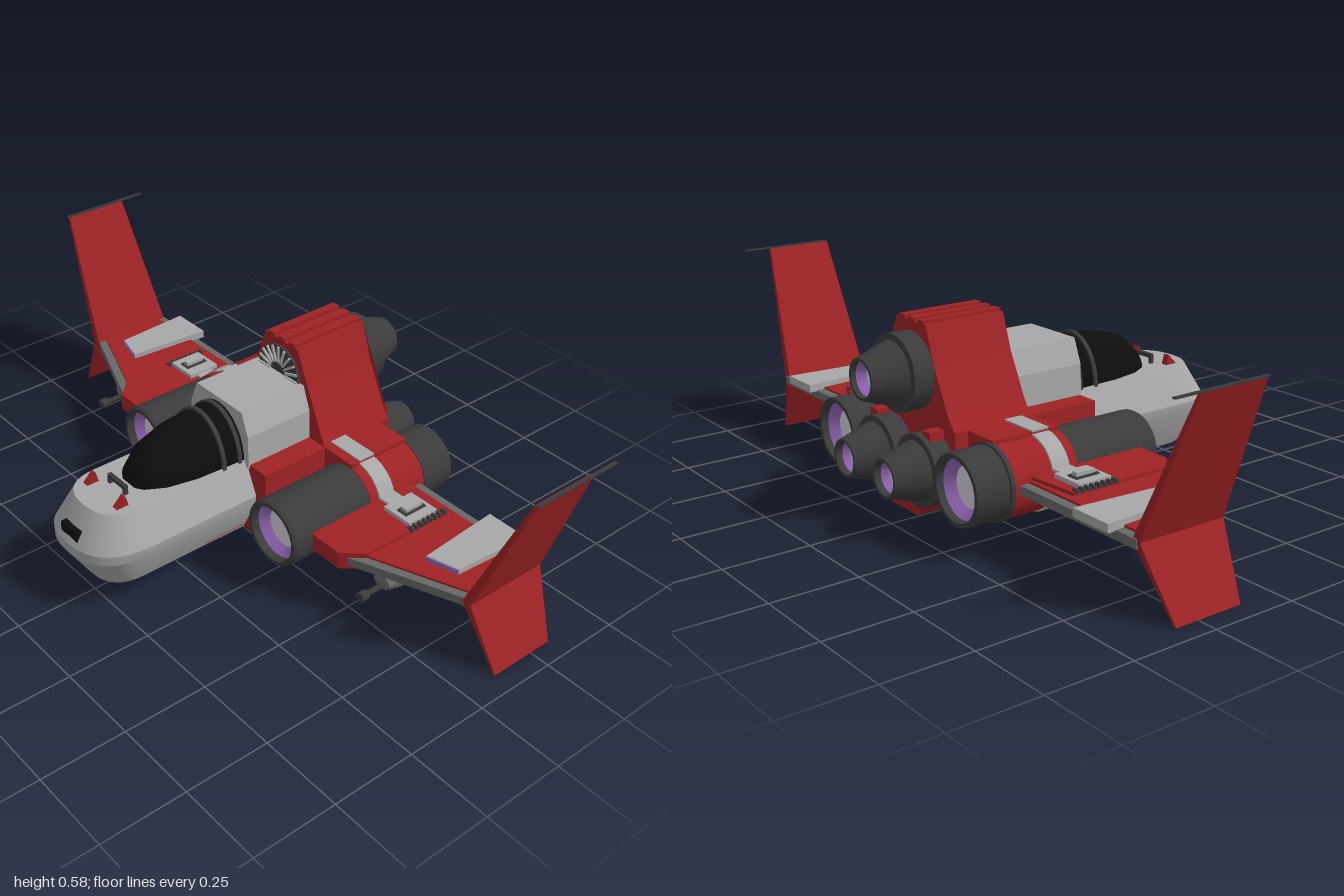
import * as THREE from 'three';
import { toCreasedNormals } from 'three/addons/utils/BufferGeometryUtils.js';

const mat = (name, color) => Object.assign(new THREE.MeshStandardMaterial({ color }), { name });
const red = mat('hull red', 0x9e2224);
const light = mat('light grey', 0xa8a8a8);
const mid = mat('mid grey', 0x666866);
const dark = mat('dark grey', 0x3b3b3b);
const black = mat('canopy black', 0x0d0d0d);
const purple = mat('glow purple', 0x9468b8);
const pale = mat('glow core', 0xd6cfda);

// Skin between convex rings of [x,y,z] points, capped at both ends
function loft(rings, crease = 0.5) {
  const out = [], n = rings[0].length;
  const tri = (a, b, c) => out.push(a, b, c);
  for (let r = 0; r < rings.length - 1; r++) {
    for (let i = 0; i < n; i++) {
      const j = (i + 1) % n, A = rings[r], B = rings[r + 1];
      tri(A[i], A[j], B[j]);
      tri(A[i], B[j], B[i]);
    }
  }
  const first = rings[0], last = rings[rings.length - 1];
  for (let i = 1; i < n - 1; i++) {
    tri(first[0], first[i + 1], first[i]);
    tri(last[0], last[i], last[i + 1]);
  }
  // Turn the faces outward if the enclosed volume is negative
  const v = out.map(p => new THREE.Vector3(...p));
  let volume = 0;
  for (let i = 0; i < v.length; i += 3) volume += v[i].dot(v[i + 1].clone().cross(v[i + 2]));
  if (volume < 0) for (let i = 0; i < v.length; i += 3) [v[i + 1], v[i + 2]] = [v[i + 2], v[i + 1]];
  return toCreasedNormals(new THREE.BufferGeometry().setFromPoints(v), crease);
}

// Section in XY drawn along z
const prism = (pts, z0, z1) => loft([z0, z1].map(z => pts.map(([x, y]) => [x, y, z])), 0.1);
// Plan in XZ raised from y0 to y1
const slab = (pts, y0, y1, s = 1) => loft([y0, y1].map(y => pts.map(([x, z]) => [x * s, y, z])), 0.1);
// Right half of a section, mirrored to a full one
const both = half => [...half, ...half.map(([x, y]) => [-x, y]).reverse()];
// Profile of [radius, z], spun about the z axis
function turned(profile, x, y, sides = 28) {
  const g = new THREE.LatheGeometry(profile.map(p => new THREE.Vector2(...p)), sides);
  g.rotateX(Math.PI / 2);
  g.translate(x, y, 0);
  return toCreasedNormals(g, 0.45);
}

export function createModel() {
  const model = new THREE.Group();
  model.name = 'starfighter';
  const add = (name, geometry, material, parent = model) => {
    const m = new THREE.Mesh(geometry, material);
    m.name = name;
    parent.add(m);
    return m;
  };
  const box = (name, material, x, y, z, w, h, d, parent = model) => {
    const m = add(name, new THREE.BoxGeometry(w, h, d), material, parent);
    m.position.set(x, y, z);
    return m;
  };

  // Nose hull: D-shaped plan, widest at mid height
  const hullRing = (y, w, front) => {
    const ring = [[-w, y, 0.03], [w, y, 0.03]];
    for (let i = 0; i <= 16; i++) {
      const a = Math.PI * i / 16, c = Math.cos(a), q = Math.sin(a);
      ring.push([w * Math.sign(c) * Math.abs(c) ** 0.8, y, 0.4 + (front - 0.4) * q ** 0.8]);
    }
    return ring;
  };
  add('noseHull', loft([hullRing(0.07, 0.105, 0.51), hullRing(0.18, 0.157, 0.58),
    hullRing(0.21, 0.16, 0.58), hullRing(0.31, 0.113, 0.52)], 0.4), light);
  box('noseSensor', black, 0, 0.24, 0.557, 0.075, 0.03, 0.025);
  box('noseGrip', dark, 0, 0.333, 0.405, 0.08, 0.012, 0.012);
  for (const s of [-1, 1]) {
    box('noseGripPost', dark, s * 0.035, 0.32, 0.405, 0.01, 0.03, 0.012);
    add('noseFinlet', loft([-0.01, 0.01].map(dx => [[s * 0.07 + dx, 0.305, 0.47],
      [s * 0.07 + dx, 0.34, 0.435], [s * 0.07 + dx, 0.305, 0.425]]), 0.1), red);
  }

  // Canopy with two frame hoops
  const arch = (z, w, h) => Array.from({ length: 17 }, (_, i) => {
    const a = Math.PI * i / 16;
    return [w * Math.cos(a), 0.305 + h * Math.sin(a), z];
  });
  add('canopy', loft([arch(0.37, 0.03, 0.01), arch(0.355, 0.052, 0.055), arch(0.3, 0.083, 0.105),
    arch(0.21, 0.103, 0.13), arch(0.04, 0.113, 0.142)], 0.6), black);
  for (const z of [0.125, 0.07]) add('canopyFrame', loft([arch(z - 0.006, 0.115, 0.144), arch(z + 0.006, 0.115, 0.144)]), dark);
  add('cockpitBack', prism(both([[0.132, 0.29], [0.128, 0.39], [0.1, 0.46]]), -0.19, 0.055), light);

  // Central body, tower and keel
  add('body', prism(both([[0.16, 0.075], [0.2, 0.11], [0.2, 0.3]]), -0.42, 0.05), red);
  add('tower', prism(both([[0.2, 0.29], [0.165, 0.34], [0.105, 0.46], [0.07, 0.562]]), -0.42, -0.17), red);
  for (const x of [-0.045, 0, 0.045]) box('towerRidge', red, x, 0.564, -0.295, 0.026, 0.014, 0.25);
  add('keel', loft([[0.04, 0.065, 0.165], [0.085, 0.115, 0.195]].map(([y, w, f]) =>
    [[-w, y, -0.457], [w, y, -0.457], [w, y, f], [-w, y, f]]), 0.1), red);

  // Half-round vent with radial vanes on the tower front
  const vent = add('ventDisc', new THREE.CylinderGeometry(0.085, 0.085, 0.012, 24).rotateX(Math.PI / 2), dark);
  vent.position.set(0, 0.46, -0.168);
  for (let i = 0; i <= 10; i++) {
    const a = Math.PI * i / 10;
    const vane = box('ventVane', light, 0.058 * Math.cos(a), 0.46 + 0.058 * Math.sin(a), -0.161, 0.05, 0.007, 0.01);
    vane.rotation.z = a;
  }

  // Glowing inside of an engine mouth; dir is the way it opens
  function glow(x, y, z, r, dir, parent) {
    const cone = [[r * 0.56, z - dir * 0.04], [r * 0.84, z - dir * 0.012]];
    const disc = [[0, z - dir * 0.036], [r * 0.58, z - dir * 0.036]];
    if (dir > 0) { cone.reverse(); disc.reverse(); }
    add('glowRing', turned(cone, x, y), purple, parent);
    add('glowCore', turned(disc, x, y), pale, parent);
  }

  // Rear thrusters: one high, two low
  for (const [x, y] of [[0, 0.427], [-0.1, 0.182], [0.1, 0.182]]) {
    add('thruster', turned([[0.045, -0.54], [0.05, -0.58], [0.058, -0.58], [0.09, -0.482],
      [0.108, -0.48], [0.108, -0.38], [0, -0.38]].map(([r, z]) => [y > 0.3 ? r : r * 0.93, z]), x, y), dark);
    glow(x, y, -0.578, 0.056, -1, model);
  }

  for (const s of [-1, 1]) {
    const side = new THREE.Group();
    side.name = s > 0 ? 'leftSide' : 'rightSide';
    model.add(side);
    const put = (name, g, m) => add(name, g, m, side);
    const block = (name, m, x, ...rest) => box(name, m, s * x, ...rest, side);

    // Nacelle: intake, red middle, exhaust
    const nx = s * 0.297, ny = 0.187;
    put('intake', turned([[0, -0.18], [0.1, -0.18], [0.1, 0.1], [0.095, 0.11], [0.084, 0.11],
      [0.08, 0.06], [0.05, 0.055]], nx, ny), dark);
    glow(nx, ny, 0.1, 0.1, 1, side);
    put('nacelleMiddle', turned([[0, -0.385], [0.103, -0.385], [0.103, -0.17], [0, -0.17]], nx, ny), red);
    put('nacelleBand', turned([[0.1, -0.255], [0.108, -0.255], [0.108, -0.2], [0.1, -0.2]], nx, ny), light);
    put('exhaust', turned([[0.05, -0.43], [0.08, -0.44], [0.086, -0.49], [0.098, -0.49],
      [0.1, -0.48], [0.1, -0.39], [0.106, -0.388], [0.106, -0.375], [0, -0.375]], nx, ny), dark);
    glow(nx, ny, -0.482, 0.1, -1, side);
    block('nacelleSaddle', red, 0.235, 0.25, -0.275, 0.15, 0.1, 0.21);
    block('saddleBand', light, 0.25, 0.301, -0.228, 0.12, 0.006, 0.055);
    block('rearLug', red, 0.13, 0.28, -0.44, 0.035, 0.03, 0.05);

    // Wing: grey core with red skin and a thicker root
    put('wingCore', slab([[0.38, 0.035], [0.5, 0.035], [0.84, -0.1], [0.84, -0.36], [0.38, -0.36]], 0.177, 0.202, s), mid);
    put('wingSkin', slab([[0.38, 0.01], [0.52, 0], [0.84, -0.125], [0.84, -0.332], [0.38, -0.332]], 0.171, 0.208, s), red);
    put('wingRoot', slab([[0.18, 0.047], [0.5, 0.047], [0.55, -0.01], [0.55, -0.31], [0.18, -0.34]], 0.165, 0.217, s), red);

    // Outer flap with a glowing front edge, and its underside plate
    const flap = [[0.66, -0.12], [0.735, -0.145], [0.77, -0.385], [0.64, -0.385]];
    flap[1] = [0.755, -0.145];
    put('flap', slab(flap, 0.2, 0.224, s), light);
    put('flapGlow', loft([0.203, 0.222].map(y => [[s * 0.66, y, -0.121], [s * 0.755, y, -0.146],
      [s * 0.755, y, -0.142], [s * 0.66, y, -0.117]]), 0.1), purple);
    put('underPlate', slab([[0.66, -0.15], [0.75, -0.17], [0.77, -0.31], [0.65, -0.31]], 0.165, 0.175, s), light);

    // Hatch on the wing root
    block('hatchStrip', light, 0.42, 0.219, -0.228, 0.09, 0.01, 0.055);
    block('hatch', light, 0.488, 0.222, -0.23, 0.1, 0.014, 0.105);
    block('hatchRim', dark, 0.492, 0.23, -0.23, 0.036, 0.006, 0.075);
    block('hatchGrip', light, 0.492, 0.233, -0.23, 0.02, 0.02, 0.06);
    for (let i = 0; i < 8; i++) block('hatchTooth', dark, 0.547, 0.218, -0.3 + i * 0.018, 0.018, 0.012, 0.009);

    // Gun pod under the wing
    const pod = turned([[0, -0.23], [0.025, -0.22], [0.038, -0.18], [0.038, -0.06], [0.028, -0.02], [0, -0.01]], 0, 0, 16);
    put('gunPod', pod.scale(1.05, 0.8, 1).translate(s * 0.6, 0.148, 0), mid);
    put('gunBarrel', turned([[0, -0.05], [0.008, -0.05], [0.008, 0.03], [0.015, 0.035], [0.015, 0.06], [0, 0.06]],
      s * 0.6, 0.135, 12), dark);

    // Bent wingtip fin
    const finRing = (y, xi, xo, front, back) => [[s * xi, y, front], [s * xo, y, front], [s * xo, y, back], [s * xi, y, back]];
    put('wingtipFin', loft([finRing(0.005, 0.932, 0.94, -0.112, -0.32), finRing(0.195, 0.822, 0.85, -0.09, -0.357),
      finRing(0.585, 0.985, 0.995, -0.112, -0.317)], 0.1), red);
    block('finTipRod', dark, 0.995, 0.587, -0.255, 0.01, 0.004, 0.29);
  }
  return model;
}
